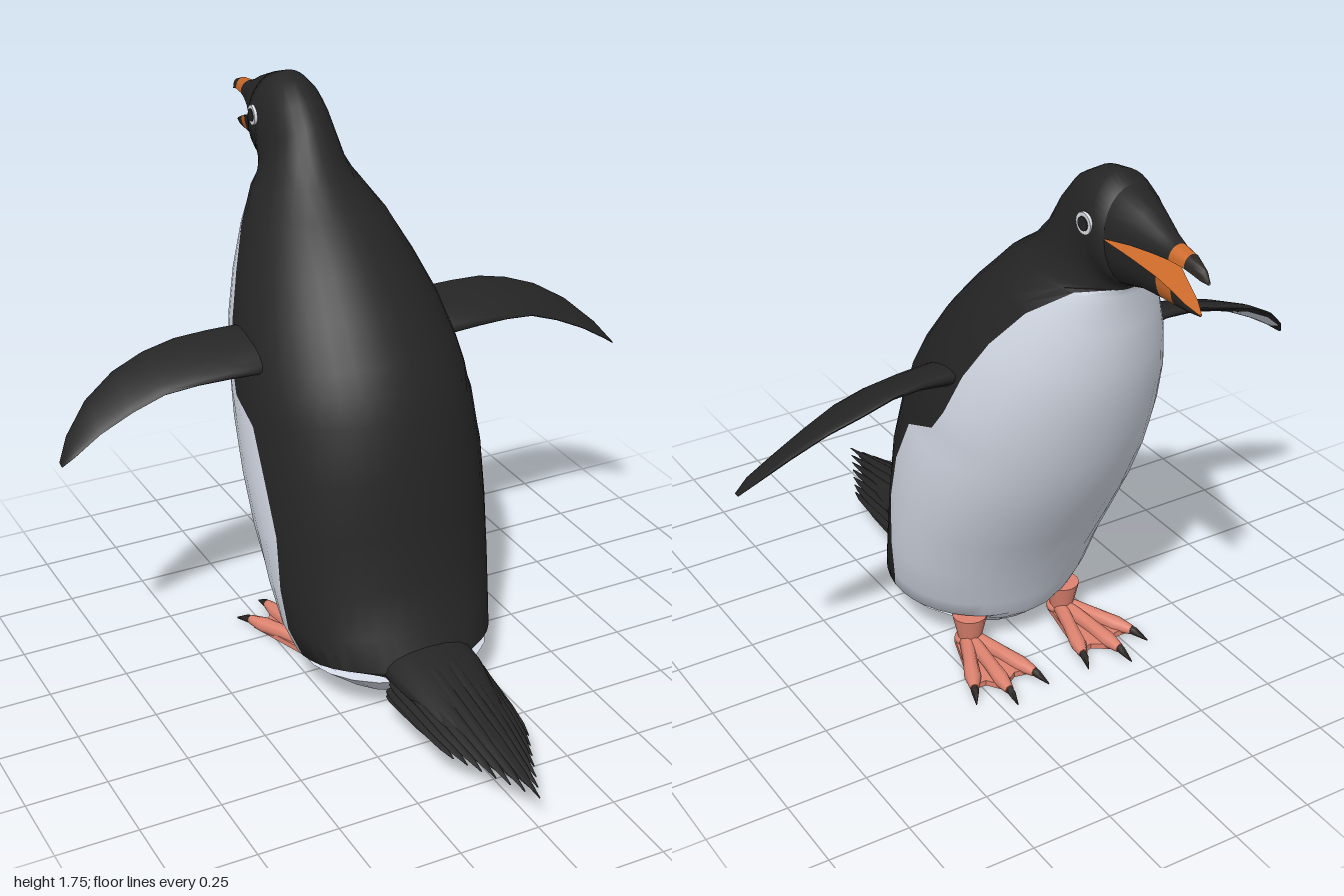
import * as THREE from 'three';
import { toCreasedNormals } from 'three/addons/utils/BufferGeometryUtils.js';

const mat = (name, color) => Object.assign(new THREE.MeshStandardMaterial({ color }), { name });
const black = mat('black plumage', 0x252525);
const white = mat('white plumage', 0xd6dce8);
const orange = mat('beak orange', 0xcc6a2a);
const horn = mat('dark horn', 0x2c2723);
const coral = mat('foot coral', 0xde8370);
const eyeWhite = mat('eye ring', 0xe4e8ee);

// Closed loft through rings of [x, y, z]; pick(i, j) chooses the material index of each quad
function loft(name, rings, mats, pick = () => 0, crease = 1.1) {
  const n = rings[0].length, last = rings.length - 1;
  const pts = rings.flat();
  for (const r of [rings[0], rings[last]]) pts.push([0, 1, 2].map(k => r.reduce((s, p) => s + p[k], 0) / n));
  const faces = mats.map(() => []);
  for (let j = 0; j < n; j++) {
    const k = (j + 1) % n;
    faces[pick(0, j)].push([pts.length - 2, k, j]);
    faces[pick(last - 1, j)].push([pts.length - 1, last * n + j, last * n + k]);
    for (let i = 0; i < last; i++) {
      const a = i * n + j, b = i * n + k;
      faces[pick(i, j)].push([a, b, b + n], [a, b + n, a + n]);
    }
  }
  // Turn all faces outward by the sign of the volume
  const v = pts.map(p => new THREE.Vector3(...p));
  const o = v[v.length - 1];
  let volume = 0;
  for (const [a, b, c] of faces.flat()) {
    volume += v[a].clone().sub(o).dot(v[b].clone().sub(o).cross(v[c].clone().sub(o)));
  }
  const geo = new THREE.BufferGeometry().setFromPoints(v);
  const index = [];
  faces.forEach((list, m) => {
    geo.addGroup(index.length, list.length * 3, m);
    for (const [a, b, c] of list) index.push(...(volume > 0 ? [a, b, c] : [a, c, b]));
  });
  geo.setIndex(index);
  const mesh = new THREE.Mesh(toCreasedNormals(geo, crease), mats);
  mesh.name = name;
  return mesh;
}

// Tapered strand through [x, y, z, halfWidth, halfHeight] stations
function strand(name, stations, material, sides = 8) {
  const a = stations[0], b = stations[stations.length - 1];
  const len = Math.hypot(b[0] - a[0], b[2] - a[2]);
  const sx = (b[2] - a[2]) / len, sz = -(b[0] - a[0]) / len;
  return loft(name, stations.map(([x, y, z, w, h]) => Array.from({ length: sides }, (_, j) => {
    const t = j / sides * Math.PI * 2, c = Math.cos(t) * w;
    return [x + sx * c, y + Math.sin(t) * h, z + sz * c];
  })), [material]);
}

// Body and head: tilted rings [backZ, backY, frontZ, frontY, halfWidth, black share of the depth]
function makeBody() {
  const rows = [
    [.25, .05, -.02, .025, .08, .01], [.36, .09, -.10, .045, .21, .01], [.40, .15, -.165, .10, .29, .03],
    [.385, .18, -.175, .12, .31, .48], [.33, .27, -.20, .18, .335, .49], [.285, .40, -.25, .31, .355, .43],
    [.255, .58, -.335, .46, .37, .36], [.235, .75, -.42, .60, .375, .375], [.19, .92, -.50, .75, .368, .41],
    [.16, .99, -.53, .825, .36, .55], [.12, 1.06, -.56, .90, .35, .57], [.03, 1.18, -.605, 1.04, .32, .56],
    [-.07, 1.29, -.635, 1.17, .275, .57], [-.19, 1.405, -.645, 1.30, .22, .64], [-.29, 1.475, -.65, 1.41, .165, .82],
    [-.35, 1.55, -.655, 1.43, .13, .97], [-.395, 1.63, -.66, 1.44, .117, .9], [-.45, 1.695, -.665, 1.445, .113, .8],
    [-.53, 1.742, -.67, 1.45, .113, .6], [-.60, 1.755, -.675, 1.455, .11, .5], [-.66, 1.735, -.68, 1.46, .10, .5],
  ];
  const half = 10, n = half * 4;
  const rings = rows.map(([bz, by, fz, fy, w, f]) => {
    const edge = Math.acos(1 - 2 * f);
    return Array.from({ length: n }, (_, j) => {
      const s = j <= n / 2 ? j : n - j;
      const t = s <= half ? edge * s / half : edge + (Math.PI - edge) * (s - half) / half;
      const k = (1 - Math.cos(t)) / 2;
      return [(j <= n / 2 ? 1 : -1) * w * Math.sin(t), by + (fy - by) * k, bz + (fz - bz) * k];
    });
  });
  return loft('body', rings, [black, white],
    (i, j) => i < 2 || (i < 15 && j >= half && j < 3 * half) ? 1 : 0, 1.3);
}

// Beak half: domed sections [z, outer y, mouth y, halfWidth], flat orange mouth face
function makeBeak(name, rows, bandStart, tipStart) {
  const n = 12;
  const rings = rows.map(([z, outer, inner, w]) => Array.from({ length: n + 1 }, (_, j) => {
    const t = j / n * Math.PI;
    return [w * Math.cos(t), inner + (outer - inner) * Math.sin(t), z];
  }));
  return loft(name, rings, [black, orange, horn],
    (i, j) => j === n ? 1 : i >= tipStart ? 2 : i >= bandStart ? 1 : 0, .9);
}

// Flipper: [x, leadZ, leadY, trailZ, trailY, half thickness], pale underneath
function makeFlipper(side) {
  const rows = [
    [.26, -.29, 1.07, -.11, 1.02, .045], [.33, -.30, 1.085, -.10, 1.02, .035], [.42, -.30, 1.09, -.10, 1.02, .024],
    [.52, -.305, 1.085, -.11, 1.015, .02], [.62, -.31, 1.06, -.125, 1.0, .018], [.72, -.295, 1.025, -.135, .96, .016],
    [.82, -.265, .965, -.14, .91, .014], [.90, -.215, .89, -.135, .86, .01], [.94, -.17, .835, -.145, .83, .004],
  ];
  const n = 16;
  const rings = rows.map(([x, lz, ly, tz, ty, h]) => Array.from({ length: n }, (_, j) => {
    const t = j / n * Math.PI * 2, k = (1 - Math.cos(t)) / 2;
    return [side * x, ty + (ly - ty) * k + h * Math.sin(t), tz + (lz - tz) * k];
  }));
  return loft('flipper', rings, [black, white], (i, j) => i > 0 && i < 7 && j >= 10 && j < 15 ? 1 : 0, 1.5);
}

// Webbed foot with three toes and claws
function makeFoot(side) {
  const foot = new THREE.Group();
  foot.name = 'foot';
  const heel = [.17, -.08];
  const tips = [[.09, -.35], [.2, -.385], [.285, -.325]];
  const web = new THREE.Shape([[.14, -.07], [.09, -.33], [.14, -.32], [.2, -.36], [.235, -.31], [.285, -.31], [.205, -.07]]
    .map(([x, z]) => new THREE.Vector2(side * x, z)));
  const webGeo = new THREE.ExtrudeGeometry(web, { depth: .018, bevelEnabled: false }).rotateX(Math.PI / 2).translate(0, .02, 0);
  const webMesh = new THREE.Mesh(webGeo, coral);
  webMesh.name = 'web';
  foot.add(webMesh);
  for (const [x, z] of tips) {
    const dx = x - heel[0], dz = z - heel[1], len = Math.hypot(dx, dz);
    const at = (d, y, w, h) => [side * (x + dx / len * d), y, z + dz / len * d, w, h];
    foot.add(strand('toe', [
      [side * heel[0], .03, heel[1], .025, .025], at(-.13, .028, .022, .025), at(-.05, .025, .026, .024), at(.005, .024, .014, .015),
    ], coral));
    foot.add(strand('claw', [at(-.02, .026, .012, .014), at(.02, .022, .012, .013), at(.062, .008, .002, .003)], horn, 6));
  }
  const heelMesh = new THREE.Mesh(new THREE.SphereGeometry(1, 14, 10).scale(.045, .026, .04), coral);
  heelMesh.name = 'heel';
  heelMesh.position.set(side * heel[0], .027, -.095);
  const ankle = new THREE.Mesh(new THREE.CylinderGeometry(.055, .035, .09, 14), coral);
  ankle.name = 'ankle';
  ankle.position.set(side * heel[0], .075, -.105);
  foot.add(heelMesh, ankle);
  return foot;
}

// Tail: a tapering core under an arched fan and a flat lower layer of feathers
function makeTail() {
  const tail = new THREE.Group();
  tail.name = 'tail';
  tail.add(strand('tailCore', [
    [0, .17, .28, .15, .07], [0, .165, .42, .145, .055], [0, .14, .6, .11, .035], [0, .12, .78, .05, .015],
  ], black, 16));
  for (const upper of [true, false]) {
    for (let i = -6; i <= 6; i++) {
      const u = i / 6, a = u * 1.4;
      const x = .15 * Math.sin(a), y = upper ? .115 + .1 * Math.cos(a) : .115;
      const tipX = .125 * u, tipZ = 1 - .27 * Math.abs(u) - (upper ? 0 : .06);
      const at = (k, w, h) => [x + (tipX - x) * k, y + (.102 - y) * k, .38 + (tipZ - .38) * k, w, h];
      tail.add(strand('tailFeather', [at(0, .014, .01), at(.1, .02, .014), at(.6, .019, .009), at(.85, .013, .005), at(1, .002, .002)], black, 6));
    }
  }
  return tail;
}

// Eye: pale disc with a dark pupil
function makeEye(side) {
  const eye = new THREE.Group();
  eye.name = 'eye';
  for (const [name, r, out, m] of [['eyeRing', .031, 0, eyeWhite], ['pupil', .02, .003, black]]) {
    const disc = new THREE.Mesh(new THREE.CylinderGeometry(r, r, .009, 20).rotateZ(Math.PI / 2), m);
    disc.name = name;
    disc.position.x = side * out;
    eye.add(disc);
  }
  eye.position.set(side * .111, 1.627, -.605);
  eye.rotation.y = side * .08;
  return eye;
}

export function createModel() {
  const model = new THREE.Group();
  model.name = 'penguin';
  model.add(makeBody(), makeTail());
  model.add(makeBeak('upperBeak', [
    [-.60, 1.745, 1.61, .10], [-.68, 1.728, 1.605, .092], [-.75, 1.70, 1.61, .067], [-.82, 1.665, 1.61, .045],
    [-.87, 1.647, 1.61, .034], [-.925, 1.641, 1.607, .026], [-.95, 1.632, 1.60, .02], [-.98, 1.62, 1.59, .012], [-1, 1.597, 1.585, .003],
  ], 4, 5));
  model.add(makeBeak('lowerBeak', [
    [-.60, 1.45, 1.61, .10], [-.68, 1.452, 1.60, .093], [-.75, 1.472, 1.575, .065], [-.83, 1.475, 1.55, .042],
    [-.88, 1.476, 1.53, .03], [-.93, 1.48, 1.508, .02], [-.97, 1.484, 1.49, .004],
  ], 3, 4));
  for (const side of [1, -1]) model.add(makeFlipper(side), makeFoot(side), makeEye(side));
  return model;
}
